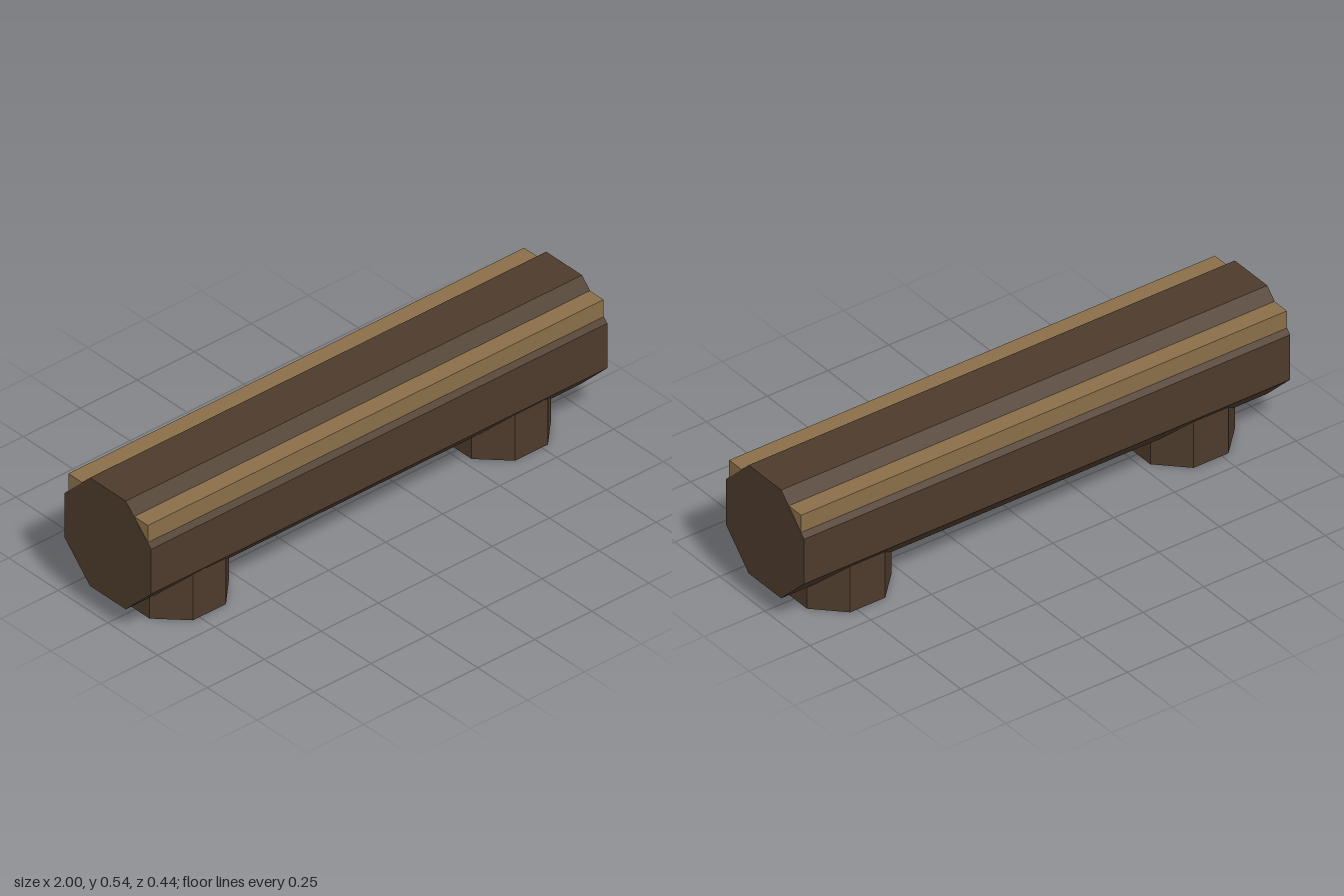
import * as THREE from 'three';

const bark = new THREE.MeshStandardMaterial({ color: 0x4d3b2c, flatShading: true });
bark.name = 'dark bark';
const cutWood = new THREE.MeshStandardMaterial({ color: 0x8a6f48, flatShading: true });
cutWood.name = 'cut wood';

// Octagonal prism with flats facing the axes; apothem is centre-to-flat distance
function octagon(name, apothem, length) {
  const r = apothem / Math.cos(Math.PI / 8);
  const geo = new THREE.CylinderGeometry(r, r, length, 8);
  geo.rotateY(Math.PI / 8);
  const mesh = new THREE.Mesh(geo, bark);
  mesh.name = name;
  return mesh;
}

export function createModel() {
  const bench = new THREE.Group();
  bench.name = 'logBench';

  // Main log lying along x
  const log = octagon('log', 0.2175, 2);
  log.rotation.z = Math.PI / 2;
  log.position.y = 0.3185;
  bench.add(log);

  // Seat slab set into the log, its edges showing at front and back
  const seat = new THREE.Mesh(new THREE.BoxGeometry(1.998, 0.09, 0.4), cutWood);
  seat.name = 'seat';
  seat.position.y = 0.45;
  bench.add(seat);

  // Stump legs
  for (const side of [-1, 1]) {
    const leg = octagon(side > 0 ? 'leftLeg' : 'rightLeg', 0.174, 0.22);
    leg.position.set(side * 0.706, 0.11, 0);
    bench.add(leg);
  }
  return bench;
}
